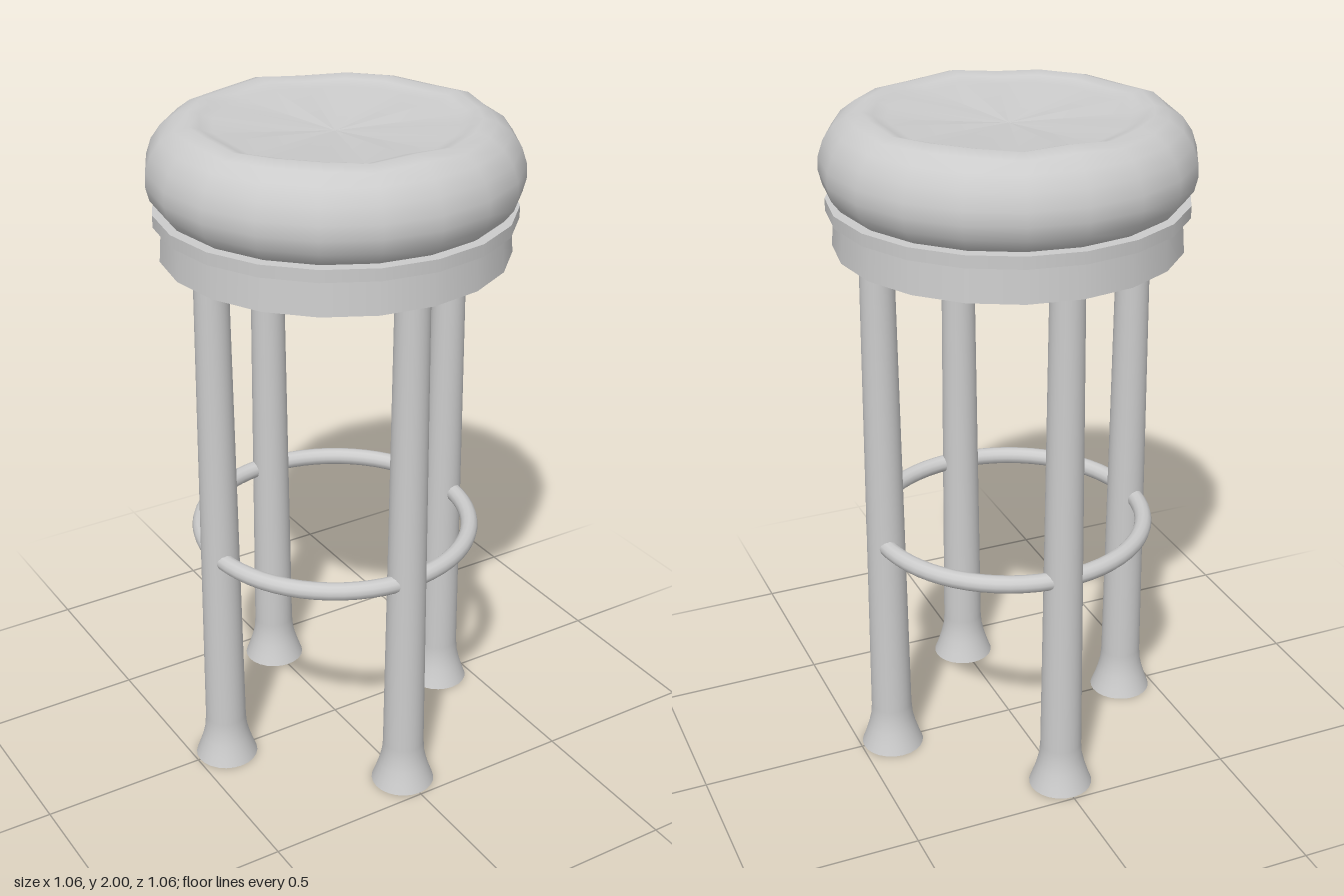
import * as THREE from 'three';

const SIDES = 20;

export function createModel() {
  const stool = new THREE.Group();
  stool.name = 'barStool';
  const material = new THREE.MeshStandardMaterial({ color: 0xcccccc });

  const add = (name, geometry, y = 0) => {
    const mesh = new THREE.Mesh(geometry, material);
    mesh.name = name;
    mesh.position.y = y;
    stool.add(mesh);
    return mesh;
  };
  const lathe = (points, sides) =>
    new THREE.LatheGeometry(points.map(([r, y]) => new THREE.Vector2(r, y)), sides);

  // Padded cushion: rounded side, slightly dished top
  const cushion = lathe([
    [0, 1.74], [0.47, 1.74], [0.495, 1.757], [0.52, 1.79], [0.53, 1.83], [0.528, 1.87],
    [0.513, 1.915], [0.485, 1.955], [0.445, 1.985], [0.405, 1.996], [0.375, 1.987],
    [0.34, 1.975], [0, 1.95],
  ], SIDES);
  // Gentle puckers around the rim of the dish
  const p = cushion.attributes.position;
  for (let i = 0; i < p.count; i++) {
    const x = p.getX(i), y = p.getY(i), z = p.getZ(i);
    const r = Math.hypot(x, z);
    if (y > 1.96 && r > 0.3) {
      p.setY(i, y + 0.006 * Math.cos(8 * Math.atan2(x, z)) - 0.002);
    }
  }
  cushion.computeVertexNormals();
  // Restore matching normals where the lathe closes
  const n = cushion.attributes.normal;
  const rows = p.count / (SIDES + 1);
  for (let j = 0; j < rows; j++) {
    const a = j, b = SIDES * rows + j;
    const v = new THREE.Vector3().fromBufferAttribute(n, a)
      .add(new THREE.Vector3().fromBufferAttribute(n, b)).normalize();
    n.setXYZ(a, v.x, v.y, v.z);
    n.setXYZ(b, v.x, v.y, v.z);
  }
  add('seatCushion', cushion);

  // Seat base: projecting band above a shallow apron
  add('seatBand', new THREE.CylinderGeometry(0.515, 0.515, 0.036, SIDES), 1.73);
  add('seatApron', new THREE.CylinderGeometry(0.492, 0.5, 0.11, SIDES), 1.665);

  // Four tapered legs with flared, capped feet
  const legShape = lathe([
    [0.095, 0], [0.084, 0.03], [0.073, 0.065], [0.065, 0.1], [0.062, 0.14], [0.049, 1.63],
  ], 24);
  const footCap = new THREE.CircleGeometry(0.095, 24).rotateX(Math.PI / 2);
  for (let i = 0; i < 4; i++) {
    const angle = (i * Math.PI) / 2;
    const leg = new THREE.Group();
    leg.name = 'leg' + (i + 1);
    for (const [name, geometry] of [['legPost', legShape], ['footCap', footCap]]) {
      const mesh = new THREE.Mesh(geometry, material);
      mesh.name = name;
      leg.add(mesh);
    }
    leg.position.set(0.398 * Math.sin(angle), 0, 0.398 * Math.cos(angle));
    stool.add(leg);
  }

  // Round footrest passing through the legs
  add('footRing', new THREE.TorusGeometry(0.41, 0.026, 12, 64).rotateX(Math.PI / 2), 0.717);

  return stool;
}
